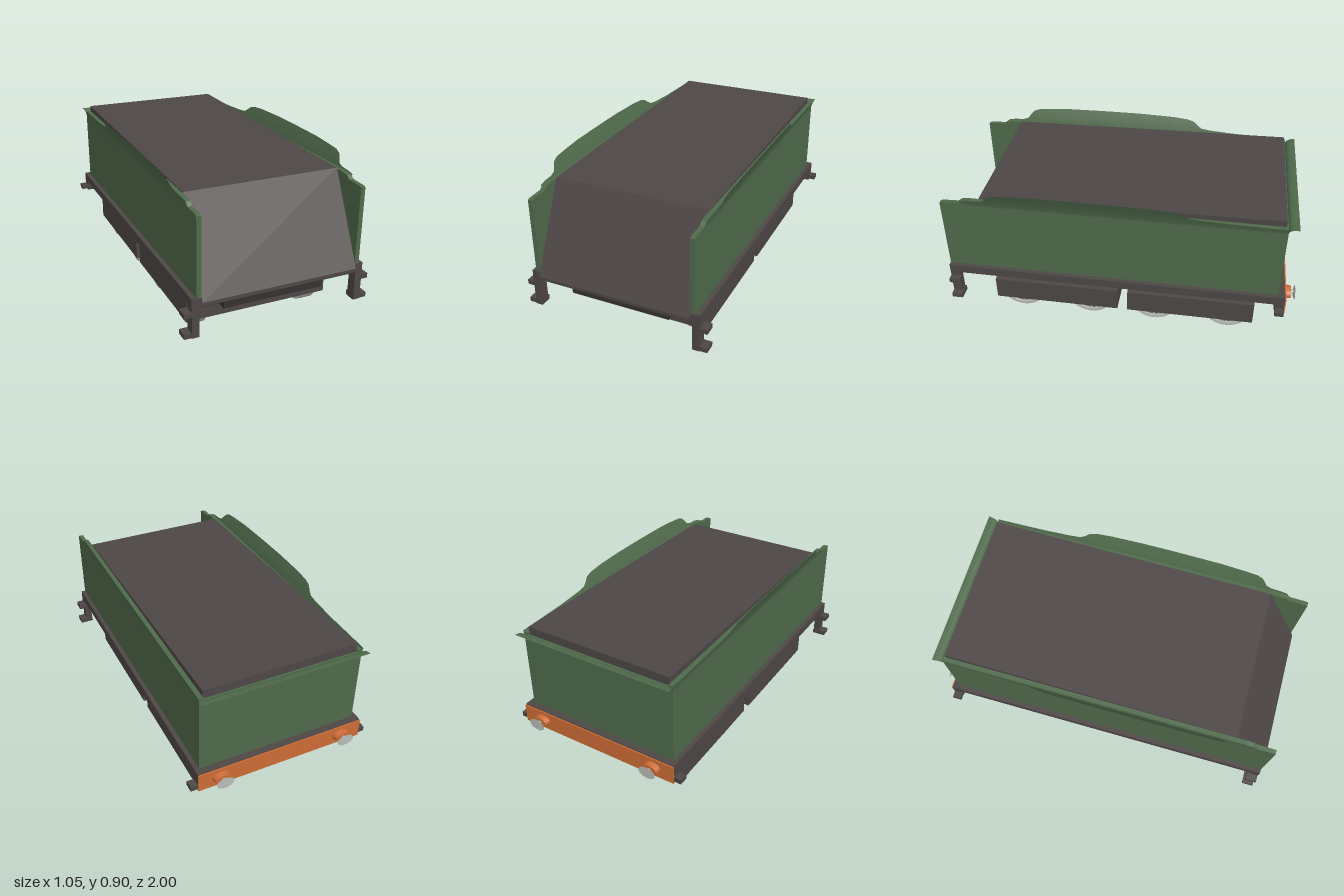
import * as THREE from 'three';

const mat = (name, color, side = THREE.FrontSide) => {
  const m = new THREE.MeshStandardMaterial({ color, side });
  m.name = name;
  return m;
};

export function createModel() {
  const green = mat('tank green', 0x4f6a4b);
  const greenSheet = mat('tank green sheet', 0x4f6a4b, THREE.DoubleSide);
  const dark = mat('dark grey', 0x4d4746);
  const black = mat('frame black', 0x353130);
  const orange = mat('beam orange', 0xcc6c36);
  const silver = mat('wheel silver', 0xb9bbb9);

  const model = new THREE.Group();
  model.name = 'tender';

  const add = (name, geometry, material, parent = model) => {
    const mesh = new THREE.Mesh(geometry, material);
    mesh.name = name;
    parent.add(mesh);
    return mesh;
  };
  // Box given by its limits on each axis
  const box = (name, material, x0, x1, y0, y1, z0, z1, parent = model) => {
    const mesh = add(name, new THREE.BoxGeometry(Math.abs(x1 - x0), y1 - y0, z1 - z0), material, parent);
    mesh.position.set((x0 + x1) / 2, (y0 + y1) / 2, (z0 + z1) / 2);
  };
  // Side profile of [z, y] points, extruded to the given width and ending at x = xMax
  const slab = (name, material, points, width, xMax) => {
    const shape = new THREE.Shape(points.map(([z, y]) => new THREE.Vector2(z, y)));
    const geometry = new THREE.ExtrudeGeometry(shape, { depth: width, bevelEnabled: false });
    geometry.rotateY(-Math.PI / 2);
    add(name, geometry, material).position.x = xMax;
  };
  // Thin sheet: rule(column, t) gives a point, t running from bottom 0 to top 1
  const sheet = (name, columns, rows, rule) => {
    const geometry = new THREE.PlaneGeometry(1, 1, columns - 1, rows);
    const position = geometry.attributes.position;
    for (let i = 0; i < position.count; i++) {
      const p = rule(i % columns, 1 - Math.floor(i / columns) / rows);
      position.setXYZ(i, ...p);
    }
    geometry.computeVertexNormals();
    add(name, geometry, greenSheet);
  };

  // Load with sloping front and slightly rising top
  slab('load', dark, [[1, 0.34], [0.765, 0.82], [-0.89, 0.847], [-0.89, 0.34]], 0.87, 0.435);

  // Tank sides with a stepped front corner and a flared, raised upper edge
  const panel = [[-0.9, 0.36], [0.985, 0.36], [0.985, 0.785], [0.97, 0.79], [0.88, 0.793],
    [0.86, 0.81], [0.82, 0.815], [-0.9, 0.812]];
  const crest = [[0.86, 0.81], [0.82, 0.817], [0.76, 0.82], [0.73, 0.83], [0.715, 0.85], [0.695, 0.872],
    [0.66, 0.884], [0.58, 0.89], [0.45, 0.897], [0.2, 0.9], [0, 0.9], [-0.2, 0.895], [-0.29, 0.888],
    [-0.33, 0.878], [-0.36, 0.855], [-0.385, 0.84], [-0.44, 0.833], [-0.6, 0.824], [-0.9, 0.817]];
  for (const s of [1, -1]) {
    slab('tankSide', green, panel, 0.025, s > 0 ? 0.46 : -0.435);
    sheet('flaredEdge', crest.length, 6, (c, t) => {
      const [z, top] = crest[c];
      const y = 0.785 + (top - 0.785) * t;
      return [s * (0.461 + 0.044 * Math.max(0, (y - 0.785) / 0.115) ** 1.3), y, z];
    });
  }

  // Tank back with a lip curling outwards
  box('tankBack', green, -0.46, 0.46, 0.36, 0.8, -0.902, -0.888);
  sheet('backLip', 2, 5, (c, t) => [
    (c ? -1 : 1) * (0.461 + 0.011 * t), 0.79 + 0.03 * Math.sin(t * Math.PI / 2), -0.902 - 0.055 * t * t]);

  // Running plate and underframe
  box('runningPlate', dark, -0.485, 0.485, 0.31, 0.36, -0.94, 0.985);
  box('underframe', black, -0.285, 0.285, 0.23, 0.31, -0.88, 0.92);
  box('underframeTop', black, -0.44, 0.44, 0.285, 0.31, -0.88, 0.95);

  // Rear beam with orange face
  box('rearBeam', dark, -0.485, 0.485, 0.25, 0.36, -0.94, -0.89);
  box('beamFace', orange, -0.485, 0.485, 0.25, 0.355, -0.947, -0.939);

  for (const s of [1, -1]) {
    // Front steps and small brackets at all four corners
    const steps = new THREE.Group();
    steps.name = 'frontStep';
    model.add(steps);
    box('stepHanger', dark, s * 0.445, s * 0.485, 0.145, 0.36, 0.93, 0.985, steps);
    box('stepTread', dark, s * 0.445, s * 0.525, 0.147, 0.173, 0.92, 0.983, steps);
    box('frontBracket', dark, s * 0.48, s * 0.525, 0.26, 0.287, 0.92, 0.983);
    box('rearBracket', dark, s * 0.48, s * 0.525, 0.26, 0.287, -0.94, -0.89);

    // Bumper: orange housing, silver rod and oval head
    const bumper = new THREE.Group();
    bumper.name = 'bumper';
    bumper.position.set(s * 0.36, 0.305, 0);
    model.add(bumper);
    const rod = (name, material, rFront, rBack, z0, z1, sx = 1) => {
      const geometry = new THREE.CylinderGeometry(rFront, rBack, z1 - z0, 20).rotateX(Math.PI / 2);
      const mesh = add(name, geometry, material, bumper);
      mesh.position.z = (z0 + z1) / 2;
      mesh.scale.x = sx;
    };
    rod('bumperHousing', orange, 0.032, 0.028, -0.978, -0.945, 1.5);
    rod('bumperRod', silver, 0.013, 0.013, -0.995, -0.975);
    rod('bumperHead', silver, 0.02, 0.034, -1, -0.992, 1.45);
  }

  // Bogie boxes
  box('frontBogie', dark, -0.415, 0.415, 0.085, 0.22, 0.01, 0.745);
  box('rearBogie', dark, -0.415, 0.415, 0.085, 0.22, -0.785, -0.05);

  // Spoked wheels: rim, coloured centre, hub and spokes
  const R = 0.141, W = 0.038;
  const rimProfile = [[0.122, -W], [R, -W], [R, W], [0.122, W], [0.122, -W]]
    .map(([r, y]) => new THREE.Vector2(r, y));
  const rimGeometry = new THREE.LatheGeometry(rimProfile, 40).toNonIndexed();
  rimGeometry.computeVertexNormals();
  const centreGeometry = new THREE.CylinderGeometry(0.125, 0.125, 0.05, 32);
  const hubGeometry = new THREE.CylinderGeometry(0.022, 0.022, 2 * W, 16);
  const spokeGeometry = new THREE.BoxGeometry(0.108, 0.066, 0.0085).translate(0.07, 0, 0);
  for (const z of [0.6, 0.18, -0.205, -0.635]) {
    for (const s of [1, -1]) {
      const wheel = new THREE.Group();
      wheel.name = 'wheel';
      wheel.position.set(s * 0.332, R, z);
      wheel.rotation.z = Math.PI / 2;
      model.add(wheel);
      add('wheelRim', rimGeometry, silver, wheel);
      add('wheelCentre', centreGeometry, green, wheel);
      add('wheelHub', hubGeometry, silver, wheel);
      for (let i = 0; i < 24; i++) {
        add('spoke', spokeGeometry, silver, wheel).rotation.y = i * Math.PI / 12;
      }
    }
    const axle = add('axle', new THREE.CylinderGeometry(0.02, 0.02, 0.64, 12), black);
    axle.rotation.z = Math.PI / 2;
    axle.position.set(0, R, z);
  }

  return model;
}
